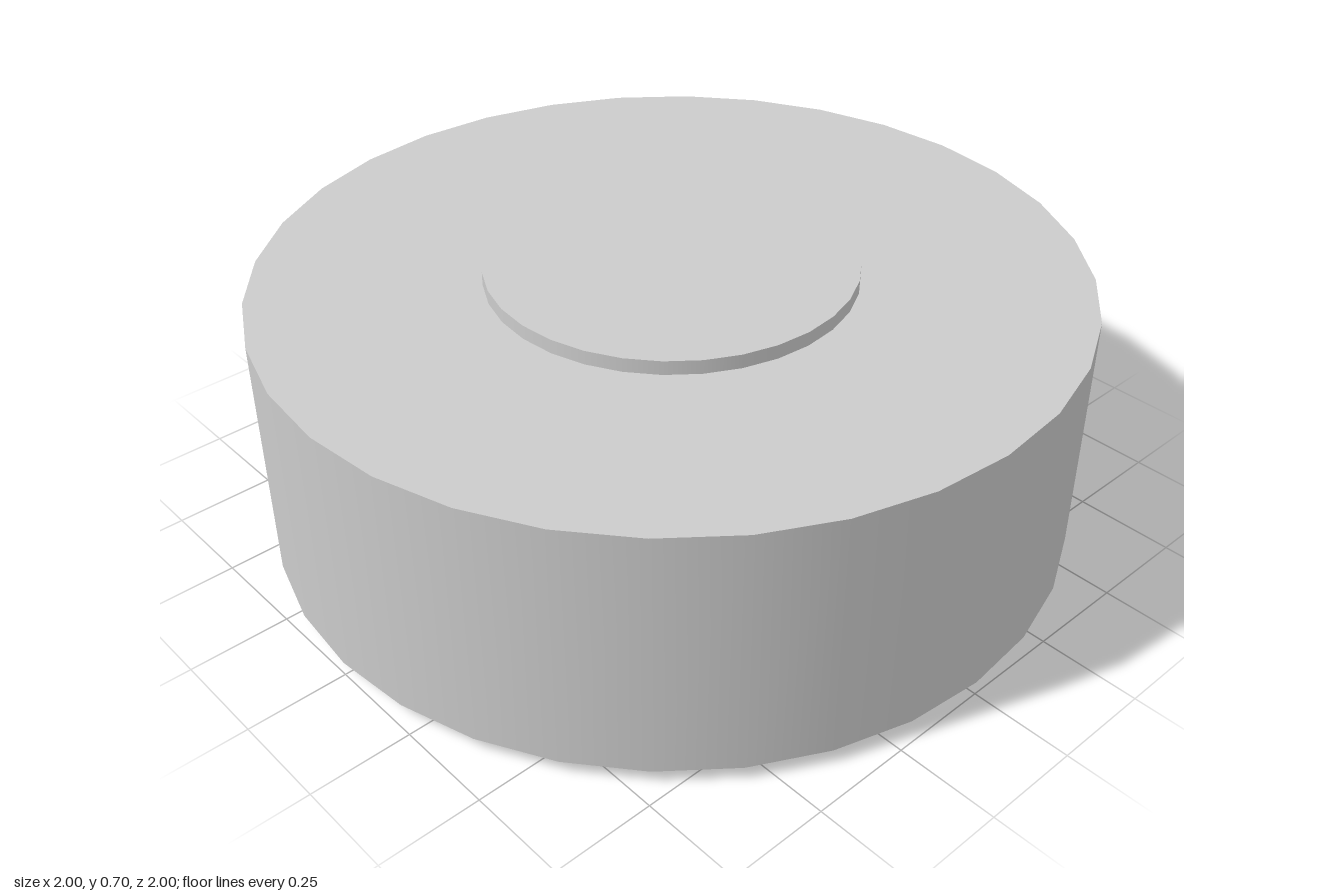
import * as THREE from 'three';

export function createModel() {
  const model = new THREE.Group();
  const material = new THREE.MeshStandardMaterial({ color: 0xcccccc });
  const height = 0.696;

  // Upright 32-sided disc, centred at half the model's height
  const addDisc = (name, radius, thickness) => {
    const mesh = new THREE.Mesh(new THREE.CylinderGeometry(radius, radius, thickness, 32), material);
    mesh.name = name;
    mesh.position.y = height / 2;
    model.add(mesh);
  };

  // Wide wheel body
  addDisc('wheel', 1, 0.626);
  // Hub passing through, slightly proud on both faces
  addDisc('hub', 0.448, height);

  return model;
}
